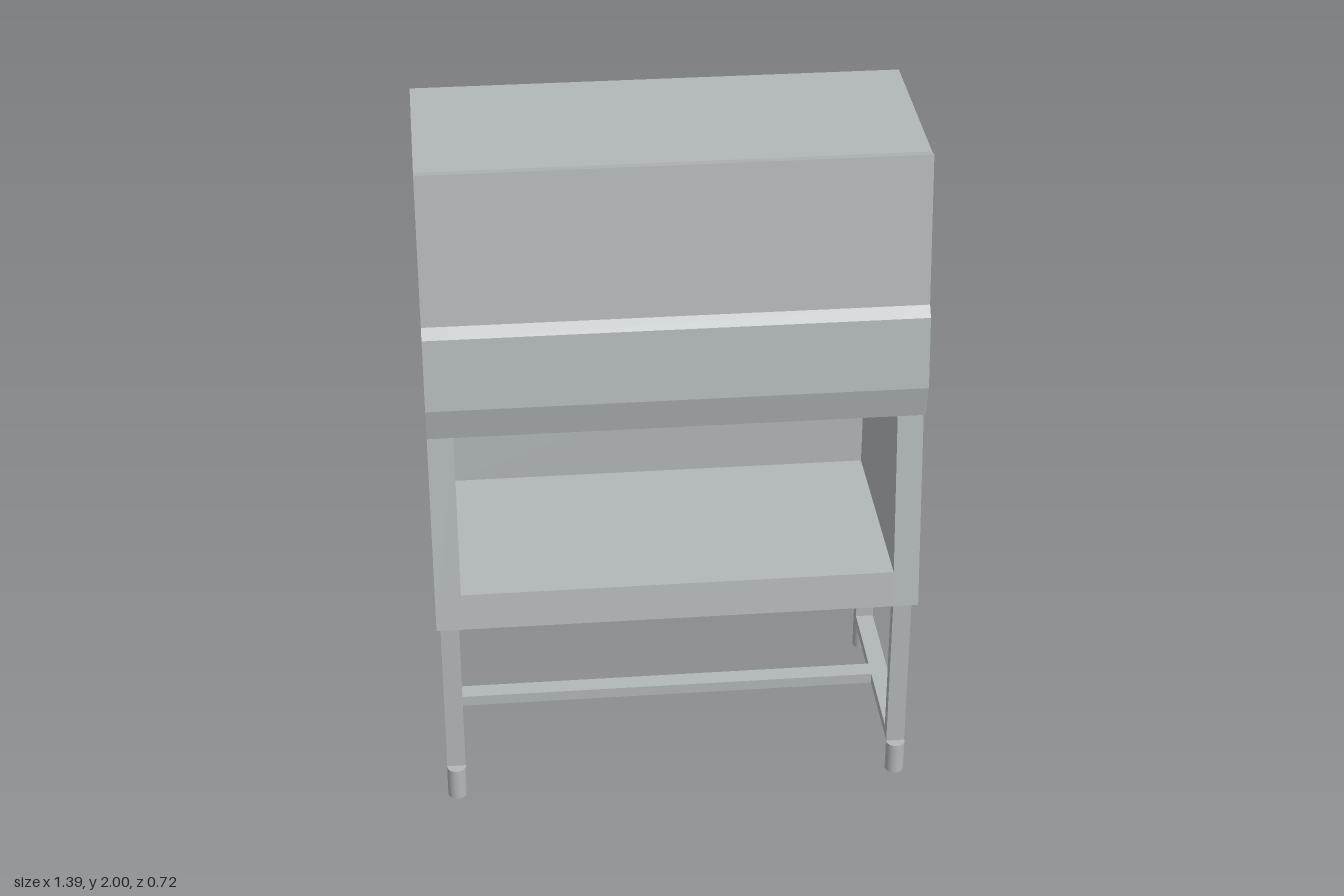
import * as THREE from 'three';

export function createModel() {
  const model = new THREE.Group();
  const steel = new THREE.MeshStandardMaterial({ color: 0xb2b7ba });
  steel.name = 'light grey steel';

  const add = (name, geometry, x = 0, y = 0, z = 0) => {
    const mesh = new THREE.Mesh(geometry, steel);
    mesh.name = name;
    mesh.position.set(x, y, z);
    model.add(mesh);
  };
  // Extrudes a side profile of [z, y] points across x, centred
  const slab = (points, width) => {
    const shape = new THREE.Shape(points.map(([z, y]) => new THREE.Vector2(z, y)));
    const g = new THREE.ExtrudeGeometry(shape, { depth: width, bevelEnabled: false });
    return g.translate(0, 0, -width / 2).rotateY(-Math.PI / 2);
  };
  const box = (name, x0, x1, y0, y1, z0, z1) =>
    add(name, new THREE.BoxGeometry(x1 - x0, y1 - y0, z1 - z0),
      (x0 + x1) / 2, (y0 + y1) / 2, (z0 + z1) / 2);

  // Cabinet: full-profile side walls, notched middle for the work chamber
  const half = 0.696, open = 0.622, wall = half - open;
  const base = [[-0.34, 0.62], [0.358, 0.62]];
  const chamber = [[0.345, 0.73], [-0.27, 0.73], [-0.27, 1.222]];
  const hood = [[0.285, 1.232], [0.318, 1.237], [0.338, 1.335], [0.313, 1.543],
    [0.29, 1.572], [0.237, 2], [0.205, 1.994], [-0.34, 1.994]];
  add('cabinetBody', slab([...base, ...chamber, ...hood], open * 2));
  for (const s of [-1, 1]) {
    add(s > 0 ? 'leftSideWall' : 'rightSideWall', slab([...base, ...hood], wall),
      s * (open + wall / 2));
  }

  // Stand: a rectangular frame at each end, with round feet
  const zFront = [0.28, 0.315], zBack = [-0.335, -0.292];
  for (const s of [-1, 1]) {
    const side = s > 0 ? 'left' : 'right';
    const x0 = s * 0.658 - 0.027, x1 = s * 0.658 + 0.027;
    box(side + 'FrontLeg', x0, x1, 0.1, 0.62, ...zFront);
    box(side + 'BackLeg', x0, x1, 0.1, 0.62, ...zBack);
    box(side + 'TopRail', x0, x1, 0.584, 0.62, zBack[1], zFront[0]);
    box(side + 'LowerRail', x0, x1, 0.1, 0.133, zBack[1], zFront[0]);
    for (const z of [0.317, -0.329]) {
      add(side + (z > 0 ? 'FrontFoot' : 'BackFoot'),
        new THREE.CylinderGeometry(0.028, 0.028, 0.1, 24), s * 0.658, 0.05, z);
    }
  }
  box('crossBar', -0.631, 0.631, 0.1, 0.133, -0.035, 0.02);

  return model;
}
